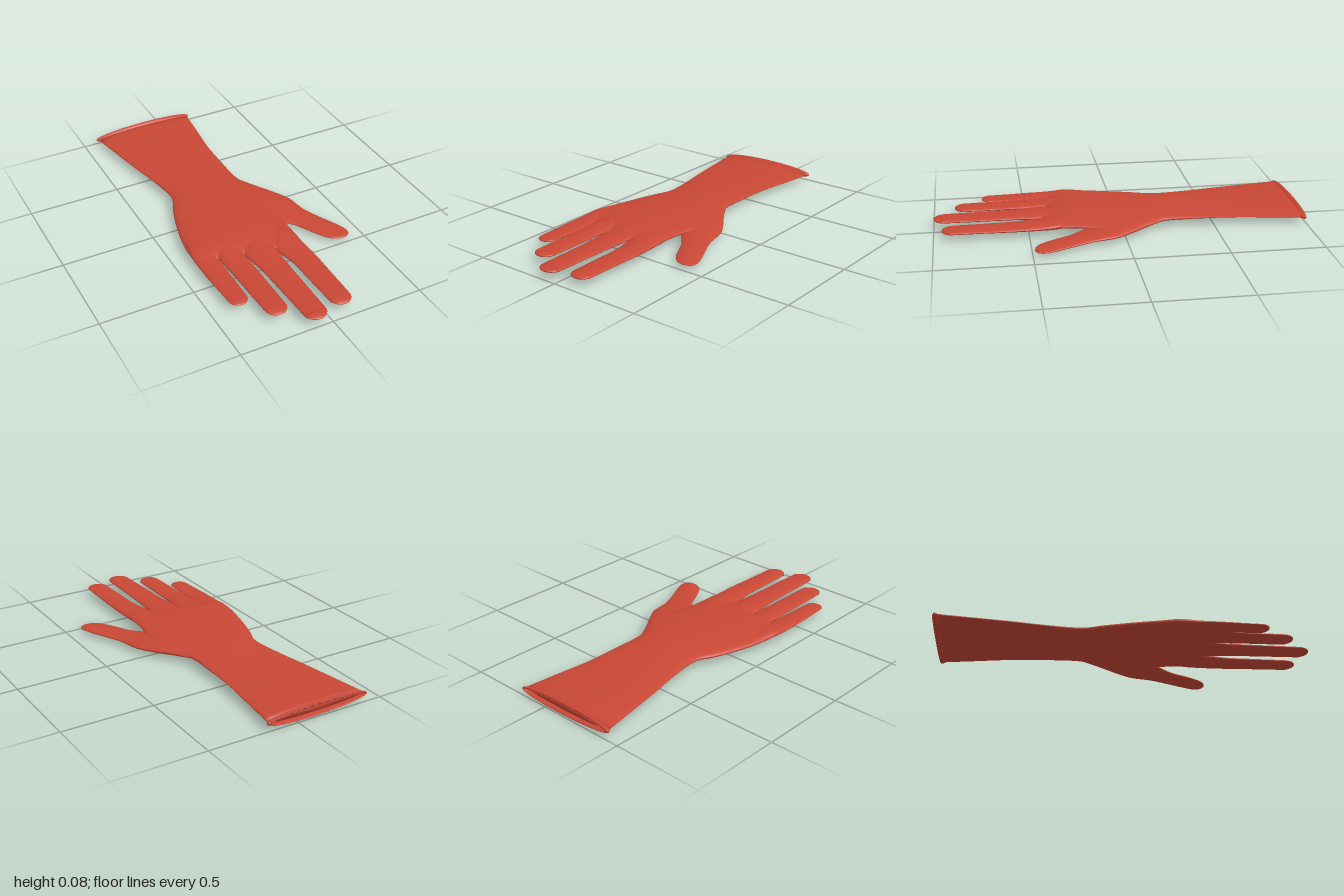
import * as THREE from 'three';

const SIDES = 40;

// Lofts flat oval sections. Each row: [xA, zA, xB, zB, yBottom, yTop],
// where A and B are the two side edges of the section.
function loft(name, rows, steps, material) {
  const low = new THREE.CatmullRomCurve3(rows.map(r => new THREE.Vector3(r[0], r[4], r[1])), false, 'catmullrom');
  const high = new THREE.CatmullRomCurve3(rows.map(r => new THREE.Vector3(r[2], r[5], r[3])), false, 'catmullrom');
  const rings = (rows.length - 1) * steps;
  const positions = [], index = [];
  const centre = (a, b) => positions.push((a.x + b.x) / 2, (a.y + b.y) / 2, (a.z + b.z) / 2);

  for (let i = 0; i <= rings; i++) {
    const a = low.getPoint(i / rings), b = high.getPoint(i / rings);
    for (let j = 0; j < SIDES; j++) {
      const t = j / SIDES * Math.PI * 2;
      const w = (1 + Math.cos(t)) / 2, h = (1 + Math.sin(t)) / 2;
      positions.push(a.x + (b.x - a.x) * w, a.y + (b.y - a.y) * h, a.z + (b.z - a.z) * w);
      if (i < rings) {
        const p = i * SIDES + j, q = i * SIDES + (j + 1) % SIDES;
        index.push(p, q, p + SIDES, q, q + SIDES, p + SIDES);
      }
    }
  }
  // End caps
  const start = (rings + 1) * SIDES, end = start + 1, last = rings * SIDES;
  centre(low.getPoint(0), high.getPoint(0));
  centre(low.getPoint(1), high.getPoint(1));
  for (let j = 0; j < SIDES; j++) {
    const k = (j + 1) % SIDES;
    index.push(start, k, j, end, last + j, last + k);
  }
  const geometry = new THREE.BufferGeometry();
  geometry.setAttribute('position', new THREE.Float32BufferAttribute(positions, 3));
  geometry.setIndex(index);
  geometry.computeVertexNormals();
  const mesh = new THREE.Mesh(geometry, material);
  mesh.name = name;
  return mesh;
}

// Section running straight across the glove
const across = (z, x0, x1, y0, y1) => [x0, z, x1, z, y0, y1];

// Finger rows: buried root, base at the web, straight shaft, rounded tip
function fingerRows({ base, web, mid, end, tip, y }) {
  const r = (end[1] - end[0]) / 2, cx = (end[0] + end[1]) / 2;
  const cy = (y[0] + y[1]) / 2, hy = (y[1] - y[0]) / 2;
  const bx = (base[0] + base[1]) / 2, bw = (base[1] - base[0]) / 2;
  const rows = [
    across(web - 0.24, bx - bw * 0.5, bx + bw * 0.5, 0.034, 0.056),
    across(web - 0.1, bx - bw * 0.95, bx + bw * 0.95, 0.025, 0.068),
    across(web, base[0], base[1], y[0] - 0.006, y[1] + 0.006),
    across(web + 0.12, mid[0], mid[1], y[0] - 0.002, y[1] + 0.002),
    across((web + 0.12 + tip - r) / 2, (mid[0] + end[0]) / 2, (mid[1] + end[1]) / 2, y[0], y[1]),
  ];
  for (let i = 0; i <= 6; i++) {
    const t = i / 6 * Math.PI / 2, c = Math.max(Math.cos(t), 0.01);
    rows.push(across(tip - r + r * Math.sin(t), cx - r * c, cx + r * c, cy - hy * c, cy + hy * c));
  }
  return rows;
}

export function createModel() {
  const group = new THREE.Group();
  group.name = 'glove';
  const red = new THREE.MeshStandardMaterial({ color: 0xc94735, side: THREE.DoubleSide });

  // Sleeve, wrist and palm
  group.add(loft('sleeveAndPalm', [
    [-0.418, -0.97, 0.162, -0.978, 0.012, 0.061],
    across(-0.8, -0.387, 0.143, 0.021, 0.058),
    across(-0.6, -0.35, 0.12, 0.025, 0.06),
    across(-0.4, -0.308, 0.115, 0.024, 0.067),
    across(-0.23, -0.287, 0.118, 0.018, 0.075),
    across(-0.12, -0.327, 0.165, 0.009, 0.077),
    across(0, -0.365, 0.2, 0.006, 0.077),
    across(0.12, -0.395, 0.185, 0.007, 0.077),
    across(0.24, -0.414, 0.158, 0.014, 0.077),
    [-0.412, 0.3, 0.153, 0.34, 0.022, 0.072],
    [-0.405, 0.34, 0.148, 0.45, 0.036, 0.056],
    [-0.38, 0.355, 0.13, 0.46, 0.043, 0.047],
  ], 5, red));

  // Open cuff: lining from the wrist outwards, then the rolled rim
  group.add(loft('cuffRim', [
    across(-0.3, -0.26, 0.09, 0.035, 0.055),
    across(-0.6, -0.335, 0.105, 0.031, 0.054),
    [-0.405, -0.96, 0.15, -0.965, 0.018, 0.055],
    [-0.415, -0.983, 0.16, -0.993, 0.01, 0.062],
    [-0.424, -0.988, 0.168, -0.999, 0.003, 0.068],
    [-0.43, -0.982, 0.174, -0.993, 0, 0.071],
    [-0.427, -0.974, 0.171, -0.984, 0.003, 0.068],
    [-0.418, -0.966, 0.162, -0.974, 0.011, 0.061],
  ], 2, red));
  // The rim loft ends on the sleeve, so drop its closing cap
  const rim = group.children[1].geometry;
  const kept = Array.from(rim.index.array);
  const capVertex = rim.attributes.position.count - 1;
  rim.setIndex(kept.filter((v, i) => kept[i - i % 3] !== capVertex));
  rim.computeVertexNormals();

  // Four fingers
  const fingers = {
    littleFinger: { base: [-0.415, -0.298], web: 0.36, mid: [-0.414, -0.3], end: [-0.402, -0.303], tip: 0.735, y: [0.032, 0.053] },
    ringFinger: { base: [-0.297, -0.165], web: 0.41, mid: [-0.291, -0.165], end: [-0.281, -0.165], tip: 0.885, y: [0.034, 0.059] },
    middleFinger: { base: [-0.163, 0], web: 0.44, mid: [-0.147, -0.005], end: [-0.132, -0.01], tip: 1, y: [0.034, 0.06] },
    indexFinger: { base: [0, 0.153], web: 0.45, mid: [0.024, 0.158], end: [0.035, 0.152], tip: 0.957, y: [0.03, 0.056] },
  };
  for (const [name, spec] of Object.entries(fingers)) group.add(loft(name, fingerRows(spec), 4, red));

  // Thumb, splaying out from the side of the palm
  group.add(loft('thumb', [
    [-0.02, -0.12, 0.115, -0.225, 0.03, 0.06],
    [0, -0.03, 0.175, -0.125, 0.016, 0.066],
    [0.05, 0.07, 0.24, -0.03, 0.011, 0.06],
    [0.1, 0.16, 0.292, 0.06, 0.011, 0.052],
    [0.165, 0.235, 0.313, 0.17, 0.012, 0.043],
    [0.21, 0.29, 0.347, 0.255, 0.012, 0.04],
    [0.262, 0.39, 0.395, 0.355, 0.013, 0.038],
    [0.295, 0.443, 0.42, 0.415, 0.014, 0.036],
    [0.318, 0.467, 0.425, 0.445, 0.016, 0.034],
    [0.345, 0.483, 0.418, 0.47, 0.019, 0.031],
    [0.383, 0.489, 0.39, 0.488, 0.024, 0.026],
  ], 4, red));

  return group;
}
